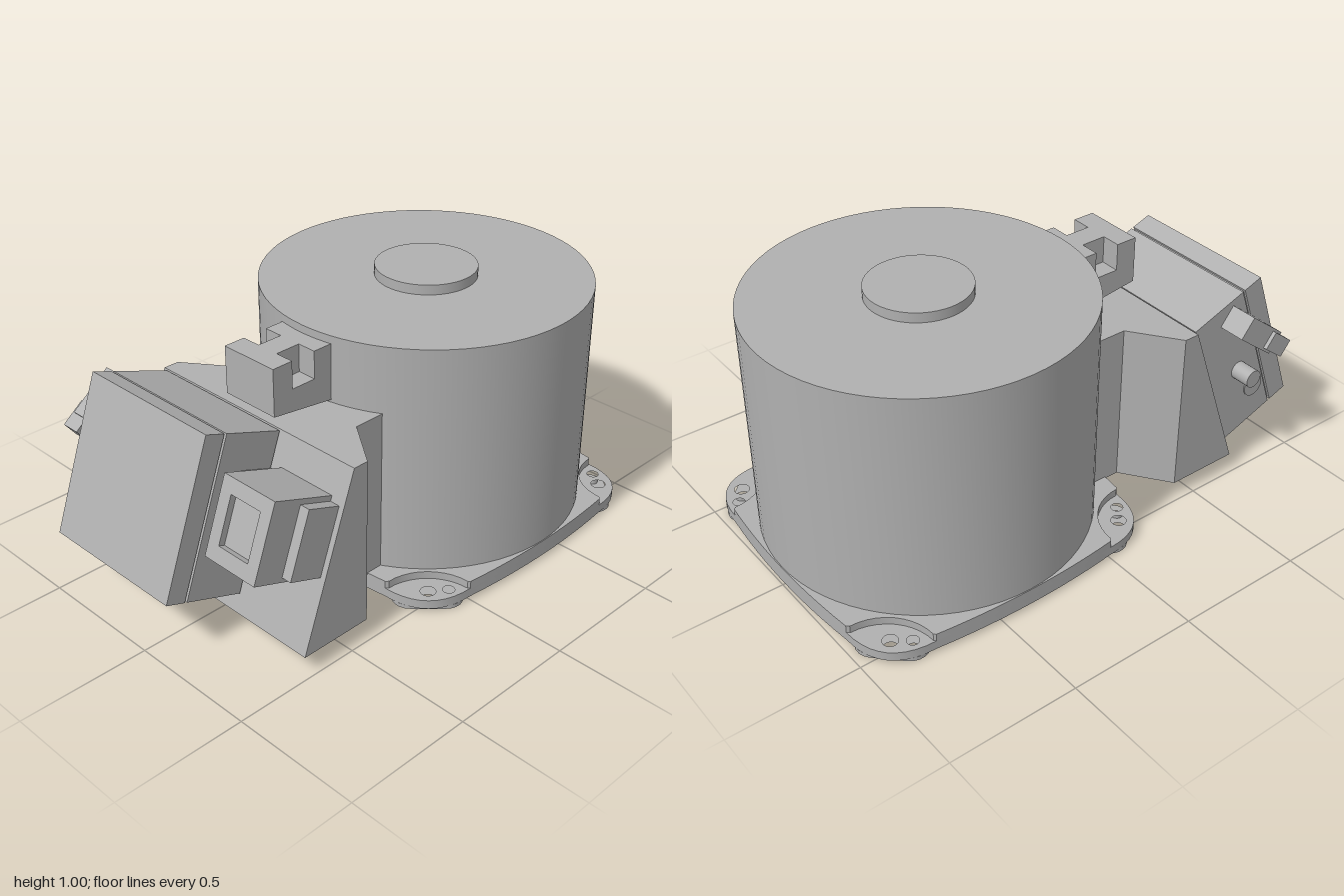
import * as THREE from 'three';
import { toCreasedNormals } from 'three/addons/utils/BufferGeometryUtils.js';

const CX = 0.38; // drum axis

export function createModel() {
  const model = new THREE.Group();
  model.name = 'motorUnit';
  const grey = new THREE.MeshStandardMaterial({ color: 0xb0b0b0 });
  grey.name = 'castGrey';

  function add(parent, name, geometry, x = 0, y = 0, z = 0) {
    const mesh = new THREE.Mesh(geometry, grey);
    mesh.name = name;
    mesh.position.set(x, y, z);
    parent.add(mesh);
    return mesh;
  }
  // Box given by its limits on each axis
  function box(parent, name, [x0, x1], [y0, y1], [z0, z1]) {
    return add(parent, name, new THREE.BoxGeometry(x1 - x0, y1 - y0, z1 - z0),
      (x0 + x1) / 2, (y0 + y1) / 2, (z0 + z1) / 2);
  }
  // Upright prism from an [x, z] outline, with round holes [x, z, r]
  function prism(outline, y0, y1, holes = []) {
    const shape = new THREE.Shape(outline.map(([x, z]) => new THREE.Vector2(x, -z)));
    for (const [x, z, r] of holes) {
      const path = new THREE.Path();
      path.absarc(x, -z, r, 0, Math.PI * 2, true);
      shape.holes.push(path);
    }
    const g = new THREE.ExtrudeGeometry(shape, { depth: y1 - y0, bevelEnabled: false, curveSegments: 24 });
    g.rotateX(-Math.PI / 2).translate(0, y0, 0);
    return toCreasedNormals(g, 0.5);
  }
  const turn = ([x, z], k) => {
    for (let i = 0; i < k; i++) [x, z] = [-z, x];
    return [x, z];
  };
  const quad = (a, b, c, n) => new THREE.QuadraticBezierCurve(
    new THREE.Vector2(...a), new THREE.Vector2(...b), new THREE.Vector2(...c)).getPoints(n).map(p => [p.x, p.y]);
  // Four bulged sides joined by a repeated corner
  function fourSided(corner) {
    const side = quad([-0.38, -0.595], [0, -0.641], [0.38, -0.595], 12);
    const quarter = [...side, ...corner];
    return [0, 1, 2, 3].flatMap(k => quarter.map(p => turn(p, k)));
  }

  // Drum with a bore in its underside, and the raised boss on top
  const profile = [[0, 0.16], [0.285, 0.16], [0.285, 0.075], [0.615, 0.075], [0.615, 0.965], [0, 0.965]];
  const drum = new THREE.LatheGeometry(profile.map(p => new THREE.Vector2(...p)), 72);
  add(model, 'drum', toCreasedNormals(drum, 0.5), CX);
  add(model, 'topBoss', new THREE.CylinderGeometry(0.19, 0.19, 0.04, 48), CX, 0.983, 0);

  // Base plate: lower layer with bolt holes, upper layer with scooped corners
  const bolts = [0, 1, 2, 3].map(k => [
    [...turn([-0.5, -0.5], k), 0.028], [...turn([-0.545, -0.44], k), 0.022]]);
  const bore = [0, 0, 0.285];
  const rounded = quad([0.38, -0.595], [0.592, -0.592], [0.595, -0.38], 10).slice(1, -1);
  const scooped = [];
  for (let i = 0; i <= 10; i++) {
    const a = Math.PI - (i / 10) * Math.PI / 2;
    scooped.push([0.585 + 0.198 * Math.cos(a), -0.587 + 0.198 * Math.sin(a)]);
  }
  add(model, 'basePlate', prism(fourSided(rounded), 0.015, 0.05, [...bolts.flat(), bore]), CX);
  add(model, 'basePlateRim', prism(fourSided(scooped), 0.05, 0.08, [bore]), CX);

  // Slotted feet under the corners
  const foot = [];
  for (let i = 0; i <= 20; i++) {
    const a = -Math.PI / 4 + (i / 20) * Math.PI * 2;
    const s = i < 10 ? 0.045 : -0.045;
    const start = -Math.PI * 0.75 + (i / 20) * Math.PI * 2;
    foot.push([-0.48 + s + 0.065 * Math.cos(start), -0.48 - s + 0.065 * Math.sin(start)]);
  }
  bolts.forEach((holes, k) =>
    add(model, 'foot', prism(foot.map(p => turn(p, k)), 0, 0.015, holes), CX));

  // Side bracket with a leaning outer face
  const bracket = prism([[-0.1, -0.305], [-0.28, -0.305], [-0.41, -0.485], [-0.7, -0.485],
    [-0.7, 0.48], [-0.41, 0.48], [-0.28, 0.3], [-0.1, 0.3]], 0.073, 0.71);
  const bp = bracket.attributes.position;
  for (let i = 0; i < bp.count; i++) {
    if (bp.getX(i) < -0.6 && bp.getY(i) > 0.5) bp.setX(i, -0.47);
  }
  bracket.computeVertexNormals();
  add(model, 'sideBracket', bracket);

  // Upper terminal block: sloped base below an H-shaped top
  const base = new THREE.BoxGeometry(0.285, 0.1, 0.24).translate(-0.3425, 0.78, 0);
  const tp = base.attributes.position;
  for (let i = 0; i < tp.count; i++) {
    if (tp.getY(i) < 0.78) tp.setY(i, tp.getX(i) < -0.3 ? 0.755 : 0.717);
  }
  base.computeVertexNormals();
  add(model, 'terminalBase', base);
  const half = [[-0.485, 0.12], [-0.4, 0.12], [-0.4, 0.045], [-0.3, 0.045], [-0.3, 0.12], [-0.2, 0.12]];
  const mirrored = half.map(([x, z]) => [x, -z]).reverse();
  add(model, 'terminalTop', prism([...half, ...mirrored], 0.83, 0.935));

  // Tilted control box
  const control = new THREE.Group();
  control.name = 'controlBox';
  control.position.set(-0.735, 0.483, 0);
  control.rotation.z = -20 * Math.PI / 180;
  model.add(control);
  box(control, 'controlBody', [-0.075, 0.166], [-0.3, 0.3], [-0.465, 0.135]);
  box(control, 'lidSeam', [-0.086, -0.074], [-0.29, 0.29], [-0.455, 0.125]);
  box(control, 'controlLid', [-0.165, -0.085], [-0.3, 0.3], [-0.465, 0.135]);

  // Plug on the front side of the box
  box(control, 'plugFlange', [0.03, 0.17], [-0.09, 0.165], [0.13, 0.46]);
  box(control, 'plugBody', [-0.03, 0.17], [-0.108, 0.185], [0.18, 0.42]);
  const cap = new THREE.Group();
  cap.name = 'plugCap';
  control.add(cap);
  box(cap, 'plugCapTop', [-0.09, -0.03], [0.13, 0.185], [0.18, 0.42]);
  box(cap, 'plugCapBottom', [-0.09, -0.03], [-0.108, -0.05], [0.18, 0.42]);
  box(cap, 'plugCapFront', [-0.09, -0.03], [-0.05, 0.13], [0.37, 0.42]);
  box(cap, 'plugCapBack', [-0.09, -0.03], [-0.05, 0.13], [0.18, 0.23]);
  box(cap, 'plugCapFloor', [-0.065, -0.03], [-0.05, 0.13], [0.23, 0.37]);

  // Latch, knob and round cover on the back side of the box
  const latch = new THREE.Group();
  latch.name = 'latch';
  latch.position.set(-0.048, 0.147, 0);
  latch.rotation.z = 58 * Math.PI / 180;
  control.add(latch);
  box(latch, 'latchBase', [-0.07, 0.125], [-0.045, 0.045], [-0.57, -0.46]);
  box(latch, 'latchTip', [-0.125, -0.02], [-0.035, 0.035], [-0.585, -0.51]);
  const knob = new THREE.CylinderGeometry(0.035, 0.035, 0.09, 24).rotateX(Math.PI / 2);
  add(control, 'knob', knob, 0.026, -0.028, -0.5);
  const cover = new THREE.CylinderGeometry(0.045, 0.045, 0.01, 24).rotateX(Math.PI / 2);
  add(control, 'roundCover', cover, -0.02, -0.156, -0.465);

  return model;
}
